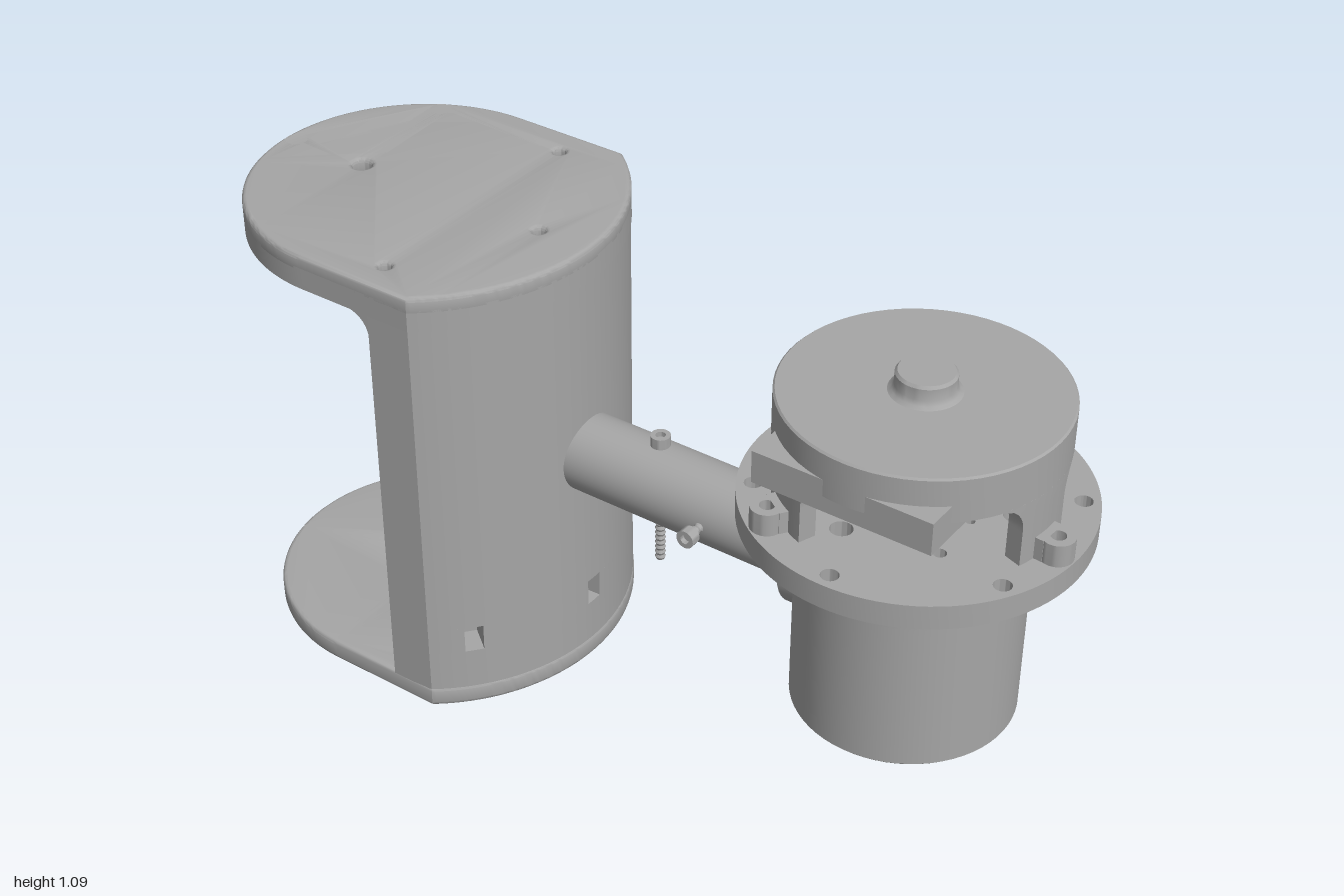
import * as THREE from 'three';
import { toCreasedNormals } from 'three/addons/utils/BufferGeometryUtils.js';

const { PI, cos, sin, asin } = Math;
const grey = new THREE.MeshStandardMaterial({ color: 0xa6a6a6 });
grey.name = 'machined grey';

export function createModel() {
  const root = new THREE.Group();
  root.name = 'bracketAndMotor';

  const group = (name, x, y, z) => {
    const g = new THREE.Group();
    g.name = name;
    g.position.set(x, y, z);
    root.add(g);
    return g;
  };
  const add = (parent, name, geo, x = 0, y = 0, z = 0) => {
    const m = new THREE.Mesh(toCreasedNormals(geo, 0.6), grey);
    m.name = name;
    m.position.set(x, y, z);
    parent.add(m);
    return m;
  };
  const V = (a) => a.map(([r, y]) => new THREE.Vector2(r, y));
  const lathe = (pts, seg = 64, a0 = 0, len = 2 * PI) => new THREE.LatheGeometry(V(pts), seg, a0, len);
  const ring = (ri, ro, y0, y1, seg = 64) => lathe([[ri, y0], [ro, y0], [ro, y1], [ri, y1], [ri, y0]], seg);

  // Plan shape (shape y = -z) raised from y0 to y1
  const slab = (shape, y0, y1, bevel = 0) => new THREE.ExtrudeGeometry(shape, {
    depth: y1 - y0 - 2 * bevel, curveSegments: 48, bevelEnabled: bevel > 0,
    bevelThickness: bevel, bevelSize: bevel, bevelOffset: -bevel, bevelSegments: 3,
  }).rotateX(-PI / 2).translate(0, y0 + bevel, 0);
  const punch = (shape, x, z, r) => shape.holes.push(new THREE.Path().absarc(x, -z, r, 0, 2 * PI, true));
  const sector = (ri, ro, t, h) => {
    const s = new THREE.Shape();
    s.absarc(0, 0, ro, -t - h, -t + h, false);
    s.absarc(0, 0, ri, -t + h, -t - h, true);
    s.closePath();
    return s;
  };

  // ---- Housing: two plates joined by a curved wall ----
  const housing = group('housing', -0.002, 0, -0.63);
  const R = 0.37, RF = 0.465, FRONT = -PI / 2, SPAN = asin(R / RF);
  const footprint = () => {
    const s = new THREE.Shape();
    s.absarc(0, 0, R, 0, PI, false);
    s.absarc(0, 0, RF, FRONT - SPAN, FRONT + SPAN, false);
    s.closePath();
    return s;
  };
  const screwSpots = [[0, -0.34], [0.295, -0.17], [-0.295, -0.17], [0.295, 0.165], [-0.295, 0.165], [0, 0.335]];

  const topUpper = footprint(), topLower = footprint();
  screwSpots.forEach(([x, z]) => { punch(topUpper, x, z, 0.014); punch(topLower, x, z, 0.016); });
  punch(topUpper, 0, -0.15, 0.022);
  topLower.holes.push(new THREE.Path(V([[-0.065, -0.01], [-0.065, 0.18], [0.065, 0.18], [0.065, -0.01]])));
  add(housing, 'topPlate', slab(topUpper, 1.035, 1.08, 0.01));
  add(housing, 'topPlateUnderside', slab(topLower, 1.0, 1.05));

  const base = footprint();
  punch(base, 0, 0, 0.09);
  [[0, 0.41], [0.265, 0.3], [-0.265, 0.3]].forEach(([x, z]) => punch(base, x, z, 0.014));
  add(housing, 'basePlate', slab(base, 0, 0.052, 0.01));

  const wallPlan = (slots) => {
    const s = new THREE.Shape(), ro = RF - 0.002, h = 0.046;
    let a = FRONT - SPAN;
    slots.forEach((c) => {
      s.absarc(0, 0, ro, a, FRONT + c - h, false);
      s.absarc(0, 0, 0.395, FRONT + c - h, FRONT + c + h, false);
      a = FRONT + c + h;
    });
    s.absarc(0, 0, ro, a, FRONT + SPAN, false);
    s.lineTo(R, -0.175);
    s.absarc(0, 0, R, FRONT + 1.078, FRONT - 1.078, true);
    s.lineTo(-R, -0.175);
    s.closePath();
    return s;
  };
  add(housing, 'wallFoot', slab(wallPlan([]), 0.045, 0.15));
  add(housing, 'wallSlotBand', slab(wallPlan([-0.7, 0, 0.7]), 0.15, 0.215));
  add(housing, 'wall', slab(wallPlan([]), 0.215, 1.05));

  // Rounded joint under the top plate
  const cove = [];
  for (let i = 0; i <= 8; i++) {
    const a = (i / 8) * PI / 2;
    cove.push([0.31 + 0.062 * sin(a), 0.94 + 0.062 * cos(a)]);
  }
  add(housing, 'wallCove', lathe([[0.374, 0.94], [0.374, 1.002], ...cove], 48, -1.078, 2.156));
  const endShape = new THREE.Shape();
  endShape.moveTo(0, 0);
  endShape.lineTo(0, -0.07);
  endShape.quadraticCurveTo(0, 0, 0.08, 0);
  const endCove = new THREE.ExtrudeGeometry(endShape, { depth: 0.06, bevelEnabled: false }).rotateY(PI / 2);
  [0.308, -0.368].forEach((x) => add(housing, 'wallEndCove', endCove.clone(), x, 1.002, 0.175));

  // ---- Arm between housing and motor ----
  const arm = group('arm', -0.003, 0.565, 0);
  add(arm, 'armTube', new THREE.CylinderGeometry(0.089, 0.089, 0.62, 48).rotateX(PI / 2), 0, 0, 0.125);
  add(arm, 'armNeck', lathe([[0.088, 0.345], [0.095, 0.345], [0.096, 0.36], [0.102, 0.38], [0.114, 0.394],
    [0.128, 0.4], [0.128, 0.46]], 48).rotateX(PI / 2));

  const screw = (name, headR, shaftR, shaftLen) => {
    const g = new THREE.Group();
    g.name = name;
    add(g, 'screwHead', lathe([[0, -0.025], [headR, -0.025], [headR, 0], [headR * 0.5, 0],
      [headR * 0.5, -0.012], [0, -0.012]], 24));
    const n = Math.round(shaftLen / 0.014), pts = [[0, -shaftLen]];
    for (let i = 0; i <= 2 * n; i++) pts.push([i % 2 ? shaftR : shaftR * 0.75, -shaftLen + (i * (shaftLen - 0.02)) / (2 * n)]);
    add(g, 'screwThread', lathe(pts, 16));
    arm.add(g);
    return g;
  };
  screw('verticalScrew', 0.022, 0.012, 0.33).position.set(0, 0.12, 0.018);
  const cross = screw('crossScrew', 0.021, 0.011, 0.33);
  cross.rotation.z = PI / 2;
  cross.position.set(-0.142, 0, 0.18);

  // ---- Motor ----
  const motor = group('motor', 0.006, 0, 0.637);
  add(motor, 'motorBody', lathe([[0.095, 0.31], [0.095, 0.28], [0.234, 0.28], [0.24, 0.286], [0.24, 0.636],
    [0.2, 0.636], [0.2, 0.31], [0.095, 0.31]]));
  add(motor, 'motorCore', new THREE.CylinderGeometry(0.203, 0.203, 0.405, 48), 0, 0.5375, 0);
  for (let i = 0; i < 6; i++) {
    // Solid walls between the pockets below the flange
    add(motor, 'bodyWall', slab(sector(0.2, 0.24, (i + 0.5) * PI / 3, PI / 6 - 0.15), 0.636, 0.745));
  }
  for (let i = 0; i < 3; i++) {
    const t = i * 2 * PI / 3;
    add(motor, 'coreBolt', new THREE.CylinderGeometry(0.014, 0.014, 0.02, 16), 0.06 * cos(t), 0.33, 0.06 * sin(t));
  }

  // Flange disc with bolt circles
  const flange = new THREE.Shape().absarc(0, 0, 0.362, 0, 2 * PI, false);
  punch(flange, 0, 0, 0.045);
  for (let i = 0; i < 6; i++) {
    const t = i * PI / 3;
    punch(flange, 0.327 * cos(t), 0.327 * sin(t), 0.019);
    punch(flange, 0.2 * cos(t + 0.3), 0.2 * sin(t + 0.3), i % 2 ? 0.024 : 0.014);
    punch(flange, 0.135 * cos(t + 0.7), 0.135 * sin(t + 0.7), 0.01);
  }
  add(motor, 'flange', slab(flange, 0.74, 0.795));

  // Offset output shaft with collar
  add(motor, 'shaftCollar', new THREE.CylinderGeometry(0.075, 0.075, 0.018, 40), -0.068, 0.818, 0);
  add(motor, 'shaftHub', new THREE.CylinderGeometry(0.063, 0.063, 0.1, 40), -0.068, 0.836, 0);

  // Cap carried on three flared legs, each with a foot lug
  add(motor, 'cap', lathe([[0, 0.975], [0.255, 0.975], [0.255, 0.94], [0.295, 0.94], [0.295, 1.036],
    [0.291, 1.04], [0, 1.04]]));
  add(motor, 'capKnob', lathe([[0.076, 1.039], [0.067, 1.045], [0.062, 1.055], [0.062, 1.08],
    [0.057, 1.086], [0, 1.086]], 40));
  const leg = (t) => {
    const g = new THREE.BoxGeometry(1, 1, 1, 10, 16, 1), p = g.attributes.position;
    for (let i = 0; i < p.count; i++) {
      const y = 0.79 + 0.152 * (p.getY(i) + 0.5);
      const k = Math.max(0, (y - 0.882) / 0.06);
      const half = 0.245 + 0.2 * (1 - Math.sqrt(Math.max(0, 1 - k * k)));
      const a = t - 2 * p.getX(i) * half, r = 0.275 + 0.04 * p.getZ(i);
      p.setXYZ(i, r * cos(a), y, r * sin(a));
    }
    return g;
  };
  for (let i = 0; i < 3; i++) {
    const t = (94.5 + i * 120) * PI / 180;
    add(motor, 'capLeg', leg(t));
    add(motor, 'footLug', ring(0.016, 0.035, 0.79, 0.845, 32), 0.324 * cos(t), 0, 0.324 * sin(t));
    add(motor, 'footLugWeb', new THREE.BoxGeometry(0.03, 0.05, 0.068), 0.297 * cos(t), 0.82, 0.297 * sin(t)).rotation.y = -t;
  }
  // Bar running under the cap and out of one side
  add(motor, 'sensorBar', new THREE.BoxGeometry(0.44, 0.073, 0.4), -0.071, 0.9415, -0.007);

  return root;
}
